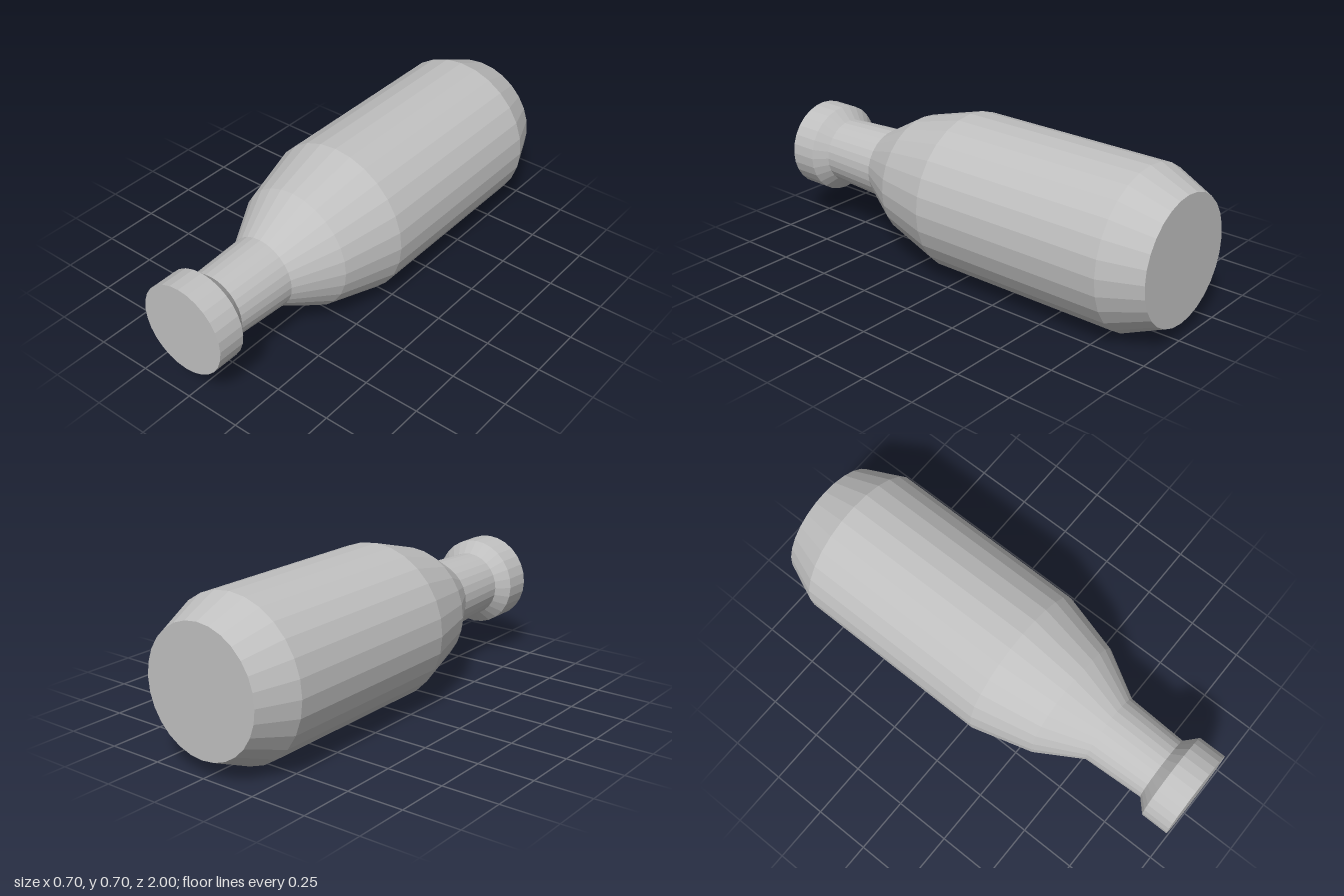
import * as THREE from 'three';

const SIDES = 28;
const AXIS_HEIGHT = 0.35;

export function createModel() {
  const group = new THREE.Group();
  group.name = 'bottle';
  const grey = new THREE.MeshStandardMaterial({ color: 0xc0c0c0, flatShading: true });
  grey.name = 'grey';

  // Turned section lying along z, from [radius, z] pairs running back to front
  function addTurned(name, profile) {
    const points = profile.map(([r, z]) => new THREE.Vector2(r, z));
    const geometry = new THREE.LatheGeometry(points, SIDES);
    geometry.rotateX(Math.PI / 2);
    const mesh = new THREE.Mesh(geometry, grey);
    mesh.name = name;
    mesh.position.y = AXIS_HEIGHT;
    group.add(mesh);
  }

  // Closed base, bevel, straight barrel and shoulder
  addTurned('body', [[0, -1], [0.275, -1], [0.35, -0.825], [0.35, 0.08], [0.275, 0.35], [0.16, 0.55]]);
  // Slightly tapered neck
  addTurned('neck', [[0.16, 0.55], [0.147, 0.825]]);
  // Flared collar with a flat end
  addTurned('cap', [[0.147, 0.825], [0.2, 0.875], [0.2, 1], [0, 1]]);

  return group;
}
